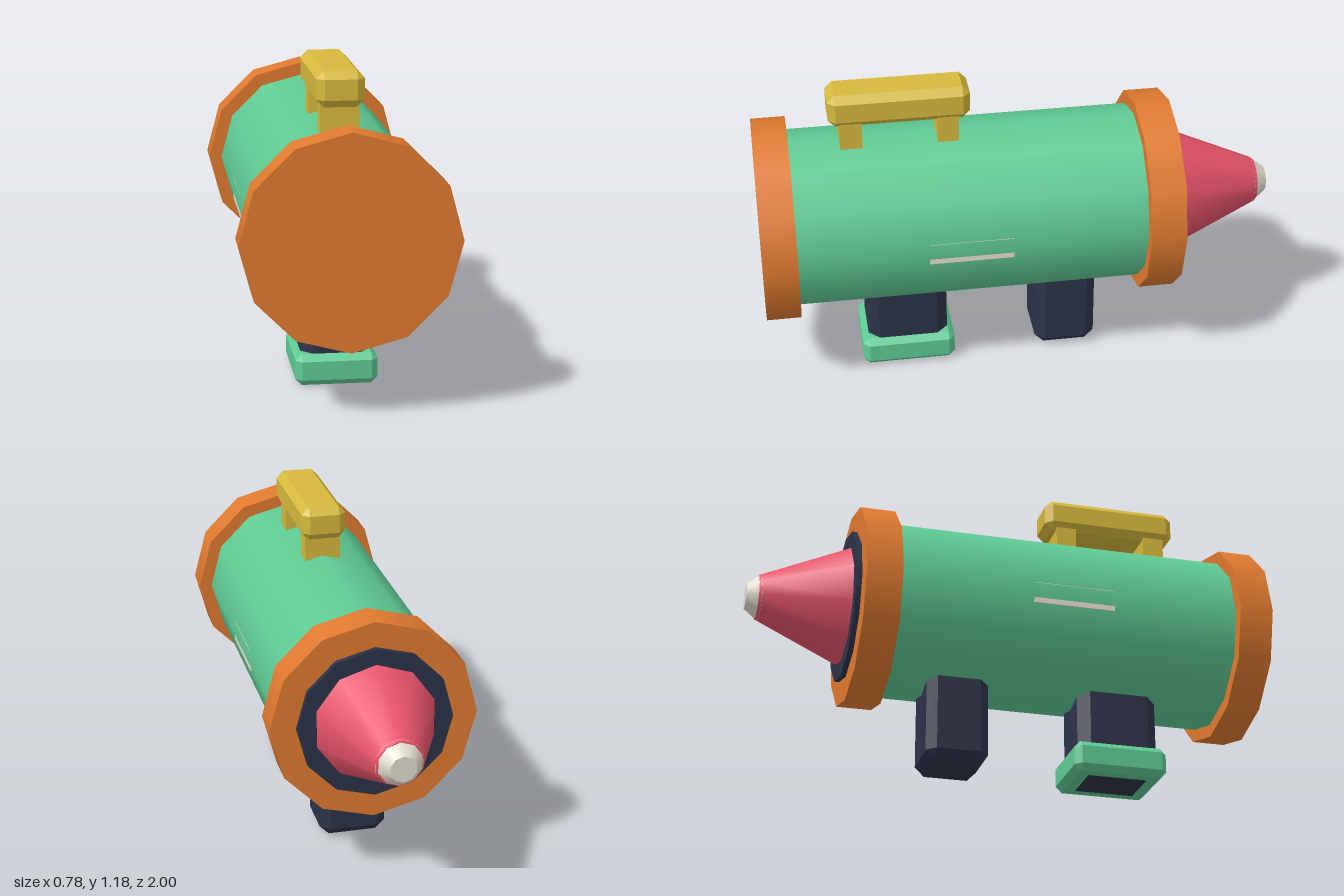
import * as THREE from 'three';
import { ConvexGeometry } from 'three/addons/geometries/ConvexGeometry.js';

const AXIS_Y = 0.637;

function material(name, color) {
  const m = new THREE.MeshStandardMaterial({ color });
  m.name = name;
  return m;
}

// Box with every edge cut at 45 degrees: three points at each corner
function chamferBox(w, h, d, c) {
  const points = [];
  for (const sx of [-1, 1]) for (const sy of [-1, 1]) for (const sz of [-1, 1]) {
    const x = w / 2, y = h / 2, z = d / 2;
    points.push(
      new THREE.Vector3(sx * x, sy * (y - c), sz * (z - c)),
      new THREE.Vector3(sx * (x - c), sy * y, sz * (z - c)),
      new THREE.Vector3(sx * (x - c), sy * (y - c), sz * z));
  }
  return new ConvexGeometry(points);
}

export function createModel() {
  const green = material('green', 0x5fcb94);
  const orange = material('orange', 0xe07a2f);
  const red = material('coral red', 0xe8546a);
  const navy = material('dark navy', 0x2d3348);
  const gold = material('gold', 0xd6b93c);
  const cream = material('cream', 0xe6dfd0);

  const model = new THREE.Group();
  model.name = 'model';

  function add(name, geometry, mat, x, y, z) {
    const mesh = new THREE.Mesh(geometry, mat);
    mesh.name = name;
    mesh.position.set(x, y, z);
    model.add(mesh);
    return mesh;
  }

  // Cylinder or cone along z, from zBack to zFront
  function barrel(name, rFront, rBack, zFront, zBack, sides, mat) {
    const geometry = new THREE.CylinderGeometry(rFront, rBack, zFront - zBack, sides);
    geometry.rotateX(Math.PI / 2);
    return add(name, geometry, mat, 0, AXIS_Y, (zFront + zBack) / 2);
  }

  // Chamfered or plain block given by its y and z ranges, centred on x
  function block(name, width, y0, y1, z0, z1, chamfer, mat) {
    const h = y1 - y0, d = z1 - z0;
    const geometry = chamfer ? chamferBox(width, h, d, chamfer) : new THREE.BoxGeometry(width, h, d);
    return add(name, geometry, mat, 0, (y0 + y1) / 2, (z0 + z1) / 2);
  }

  // Body and end caps
  barrel('body', 0.34, 0.34, 0.9, -0.5, 12, green);
  barrel('frontCap', 0.39, 0.39, 1.0, 0.868, 12, orange);
  barrel('backCap', 0.39, 0.39, -0.463, -0.6, 12, orange);

  // Nozzle at the back
  barrel('nozzleCollar', 0.293, 0.293, -0.59, -0.62, 12, navy);
  barrel('nozzleCone', 0.236, 0.087, -0.61, -0.956, 10, red);
  barrel('nozzleTip', 0.092, 0.05, -0.945, -1.0, 10, cream);

  // Carrying handle
  block('handleBar', 0.174, 1.055, 1.185, 0.18, 0.715, 0.028, gold);
  block('handleFrontPost', 0.14, 0.96, 1.08, 0.59, 0.675, 0, gold);
  block('handleBackPost', 0.14, 0.96, 1.08, 0.225, 0.306, 0, gold);

  // Grip with its foot, and the rear leg
  block('grip', 0.26, 0, 0.42, 0.29, 0.605, 0.042, navy);
  block('gripFoot', 0.306, 0.001, 0.12, 0.265, 0.63, 0.024, green);
  block('rearLeg', 0.26, 0.003, 0.42, -0.305, -0.065, 0.036, navy);

  // Side strips, half sunk into the ridge of the body
  for (const side of [-1, 1]) {
    const strip = add('sideStrip', new THREE.BoxGeometry(0.009, 0.085, 0.32), cream,
      side * 0.3272, 0.6275, 0.215);
    strip.name = side > 0 ? 'leftStrip' : 'rightStrip';
  }

  return model;
}
